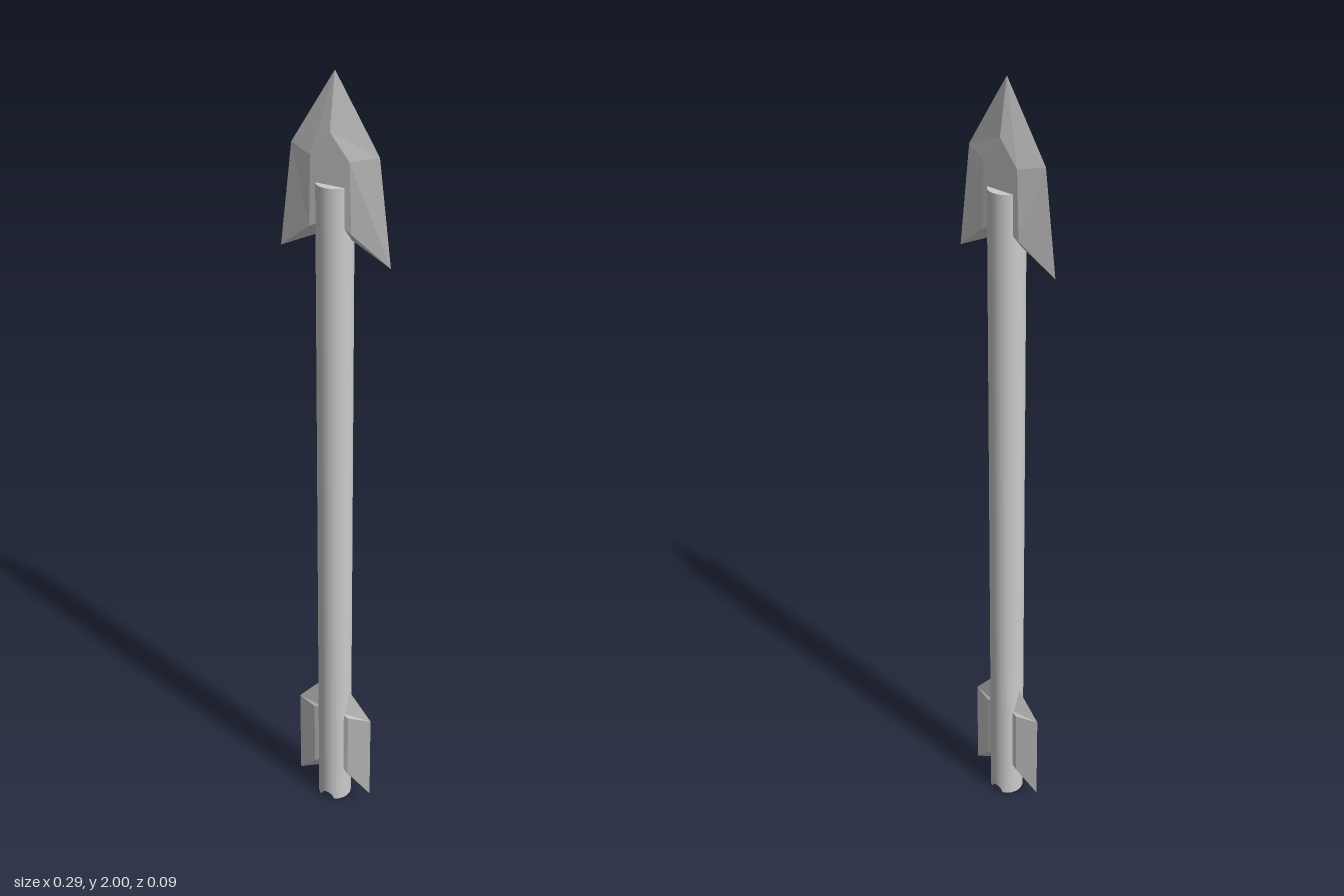
import * as THREE from 'three';

// Bevelled blade: a sharp rim at z = 0 and a raised inner outline on both sides.
// Both loops run counter-clockwise seen from the front.
function bladeGeometry(rim, inner, depth) {
  const pos = [];
  const n = rim.length;
  for (const side of [1, -1]) {
    const R = rim.map(([x, y]) => [x, y, 0]);
    const I = inner.map(([x, y]) => [x, y, side * depth]);
    const tri = (a, b, c) => pos.push(...a, ...(side > 0 ? b : c), ...(side > 0 ? c : b));
    for (let i = 0; i < n; i++) {
      const j = (i + 1) % n;
      tri(R[i], R[j], I[j]);
      tri(R[i], I[j], I[i]);
    }
    for (let i = 1; i < n - 1; i++) tri(I[0], I[i], I[i + 1]);
  }
  const geo = new THREE.BufferGeometry();
  geo.setAttribute('position', new THREE.Float32BufferAttribute(pos, 3));
  geo.computeVertexNormals();
  return geo;
}

export function createModel() {
  const group = new THREE.Group();
  const grey = new THREE.MeshStandardMaterial({ color: 0xcccccc });
  grey.name = 'light grey';
  const add = (name, geo, parent = group) => {
    const mesh = new THREE.Mesh(geo, grey);
    mesh.name = name;
    parent.add(mesh);
    return mesh;
  };

  // Shaft, its lower edge lifted into a round string notch
  const radius = 0.044, top = 1.75, segments = 40, notch = 0.02;
  const lift = (x) => Math.sqrt(Math.max(0, notch * notch - x * x));
  const shaft = new THREE.CylinderGeometry(radius, radius, top, segments, 1, true);
  shaft.translate(0, top / 2, 0);
  const sp = shaft.attributes.position;
  for (let i = 0; i < sp.count; i++) {
    if (sp.getY(i) < 0.01) sp.setY(i, lift(sp.getX(i)));
  }
  add('shaft', shaft);

  const cap = new THREE.CircleGeometry(radius, segments);
  cap.rotateX(-Math.PI / 2);
  cap.translate(0, top, 0);
  add('shaftTop', cap);

  // Notched underside, made of strips running front to back
  const nock = new THREE.PlaneGeometry(2, 2, segments / 2, 1);
  nock.rotateX(Math.PI / 2);
  const np = nock.attributes.position;
  for (let i = 0; i < np.count; i++) {
    const a = np.getX(i) * Math.PI / 2;
    const x = radius * Math.sin(a);
    np.setXYZ(i, x, lift(x), Math.sign(np.getZ(i)) * radius * Math.cos(a));
  }
  nock.computeVertexNormals();
  add('nock', nock);

  // Barbed arrowhead
  add('arrowhead', bladeGeometry(
    [[0, 2], [-0.113, 1.825], [-0.145, 1.575], [-0.04, 1.625], [0.04, 1.625], [0.145, 1.575], [0.113, 1.825]],
    [[0, 1.87], [-0.05, 1.81], [-0.055, 1.645], [-0.035, 1.655], [0.035, 1.655], [0.055, 1.645], [0.05, 1.81]],
    0.022
  ));

  // Two swept fins near the nock
  const fin = bladeGeometry(
    [[0.03, 0.37], [0.03, 0.075], [0.11, 0.03], [0.11, 0.28]],
    [[0.03, 0.29], [0.03, 0.11], [0.052, 0.092], [0.052, 0.28]],
    0.02
  );
  add('leftFin', fin);
  add('rightFin', fin).rotation.y = Math.PI;

  return group;
}
